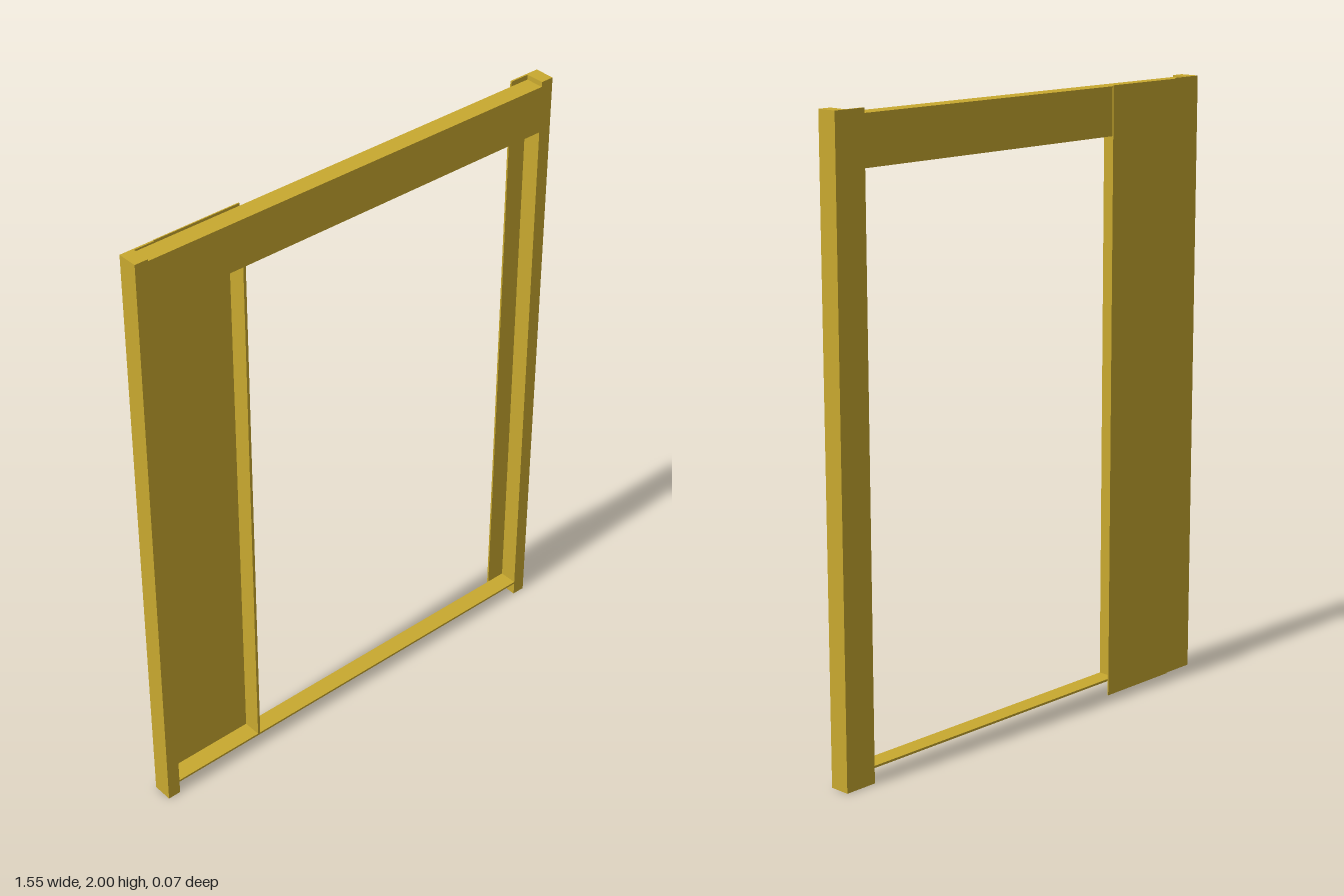
import * as THREE from 'three';

const material = new THREE.MeshStandardMaterial({ color: 0xc9a92f });

// Axis-aligned board given by its limits on each axis
function board(name, [x0, x1], [y0, y1], [z0, z1]) {
  const mesh = new THREE.Mesh(new THREE.BoxGeometry(x1 - x0, y1 - y0, z1 - z0), material);
  mesh.position.set((x0 + x1) / 2, (y0 + y1) / 2, (z0 + z1) / 2);
  mesh.name = name;
  return mesh;
}

// L-shaped post: a deep outer jamb with a thin flange along its back
function jamb(name, side, height) {
  const s = new THREE.Shape();
  const outline = [[0.777, 0.035], [0.733, 0.035], [0.733, -0.026], [0.667, -0.026], [0.667, -0.032], [0.777, -0.032]];
  const points = outline.map(([x, z]) => new THREE.Vector2(side * x, -z));
  s.setFromPoints(points);
  const geometry = new THREE.ExtrudeGeometry(s, { depth: height, bevelEnabled: false });
  geometry.rotateX(-Math.PI / 2);
  const mesh = new THREE.Mesh(geometry, material);
  mesh.name = name;
  return mesh;
}

export function createModel() {
  const group = new THREE.Group();
  group.name = 'doorFrame';
  const depth = [-0.026, 0.035];

  // Side posts
  group.add(jamb('leftJamb', 1, 2), jamb('rightJamb', -1, 1.99));

  // Header beam and thin raised sill
  group.add(board('header', [-0.733, 0.733], [1.83, 1.984], depth));
  group.add(board('sill', [-0.733, 0.733], [0.045, 0.052], depth));

  // Slim divider and the side panel fixed behind it
  group.add(board('divider', [-0.414, -0.405], [0.052, 1.83], depth));
  group.add(board('sidePanel', [-0.663, -0.368], [0, 1.988], [-0.036, -0.032]));

  return group;
}
